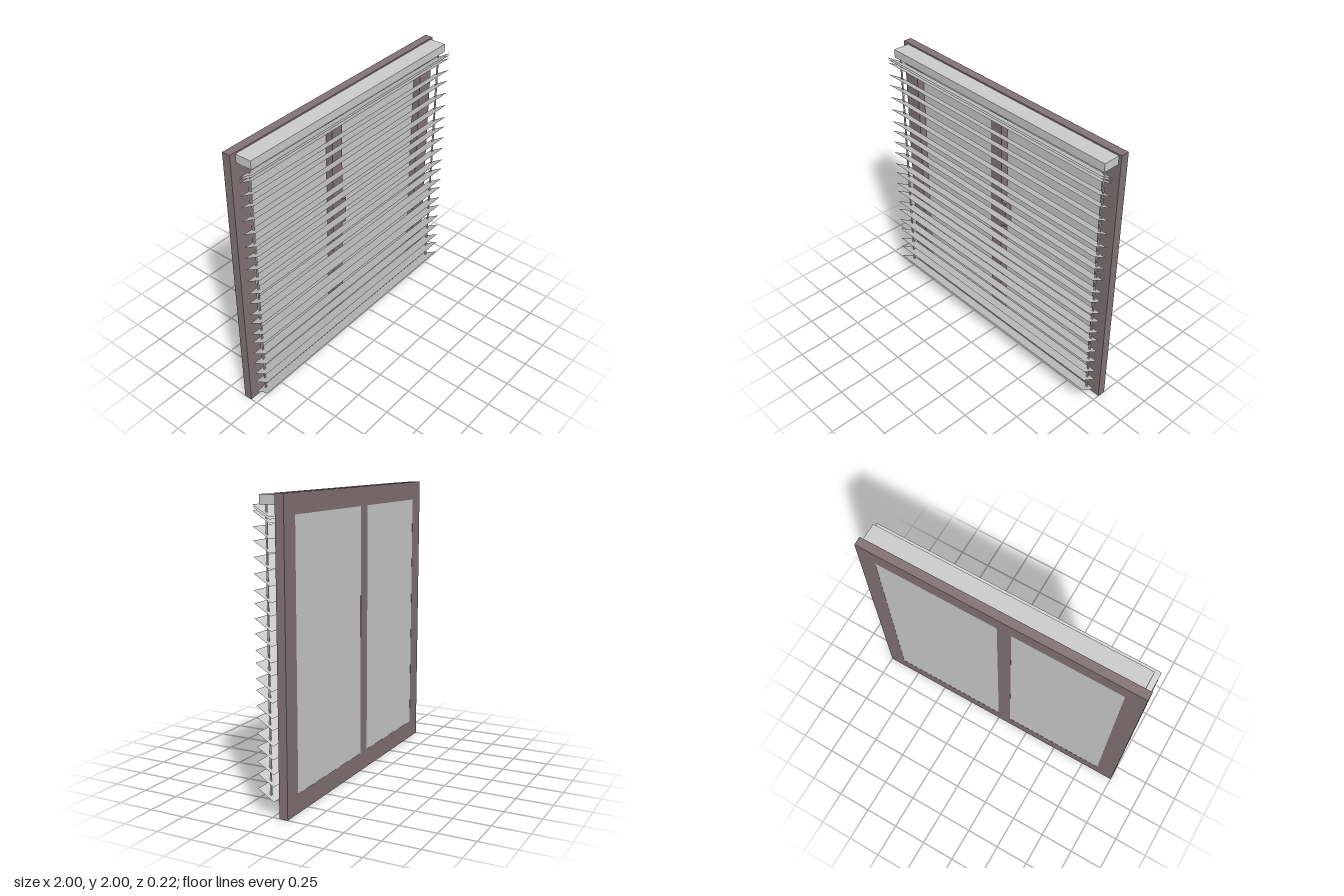
import * as THREE from 'three';

export function createModel() {
  const model = new THREE.Group();
  const grey = new THREE.MeshStandardMaterial({ color: 0xcccccc });
  const thin = new THREE.MeshStandardMaterial({ color: 0xcccccc, side: THREE.DoubleSide });
  const brown = new THREE.MeshStandardMaterial({ color: 0x827376 });

  const add = (name, geometry, material, parent = model) => {
    const mesh = new THREE.Mesh(geometry, material);
    mesh.name = name;
    parent.add(mesh);
    return mesh;
  };
  // Box given by its limits on each axis
  const box = (name, [x0, x1], [y0, y1], [z0, z1], material, parent) => {
    const mesh = add(name, new THREE.BoxGeometry(x1 - x0, y1 - y0, z1 - z0), material, parent);
    mesh.position.set((x0 + x1) / 2, (y0 + y1) / 2, (z0 + z1) / 2);
    return mesh;
  };
  const rectangle = (PathType, x0, x1, y0, y1) => new PathType([
    new THREE.Vector2(x0, y0), new THREE.Vector2(x1, y0),
    new THREE.Vector2(x1, y1), new THREE.Vector2(x0, y1),
  ]);

  // Window frame with two openings and a mullion left of centre
  const back = -0.11, front = -0.05;
  const panes = [[-0.87, -0.1], [0, 0.87]];
  const outline = rectangle(THREE.Shape, -1, 1, 0, 2);
  for (const [x0, x1] of panes) outline.holes.push(rectangle(THREE.Path, x0, x1, 0.13, 1.87));
  add('windowFrame', new THREE.ExtrudeGeometry(outline, { depth: front - back, bevelEnabled: false }), brown)
    .position.z = back;

  // Glass close to the back of the frame
  for (const [x0, x1] of panes) box('glassPane', [x0, x1], [0.13, 1.87], [back + 0.001, back + 0.006], grey);

  // Latch on the side of the mullion
  box('latch', [0, 0.04], [0.95, 1.15], [back + 0.007, front], brown);

  // Blind: head rail, tilted slats and two cords
  const blind = new THREE.Group();
  blind.name = 'blind';
  model.add(blind);
  box('headRail', [-0.955, 0.98], [1.93, 1.99], [front, 0.07], grey, blind);

  // Height of each slat's raised front edge
  const slatTops = [1.93, 1.915, 1.893, 1.8, 1.717, 1.62, 1.52, 1.42, 1.34, 1.247, 1.155,
    1.053, 0.973, 0.875, 0.803, 0.705, 0.63, 0.53, 0.44, 0.345, 0.265, 0.168];
  const drop = 0.07, zIn = -0.005, zOut = 0.11;
  const slat = new THREE.PlaneGeometry(1.98, Math.hypot(drop, zOut - zIn));
  slat.rotateX(-Math.PI / 2 - Math.atan2(drop, zOut - zIn) + Math.PI);
  // Ensure the raised edge is the outer one
  const p = slat.attributes.position;
  for (let i = 0; i < p.count; i++) p.setY(i, Math.sign(p.getZ(i)) * drop / 2);
  slat.computeVertexNormals();
  for (const top of slatTops) add('slat', slat, thin, blind).position.set(0, top - drop / 2, (zIn + zOut) / 2);

  for (const x of [-0.935, 0.955]) box('cord', [x - 0.005, x + 0.005], [0.125, 1.93], [0.03, 0.04], grey, blind);

  return model;
}
